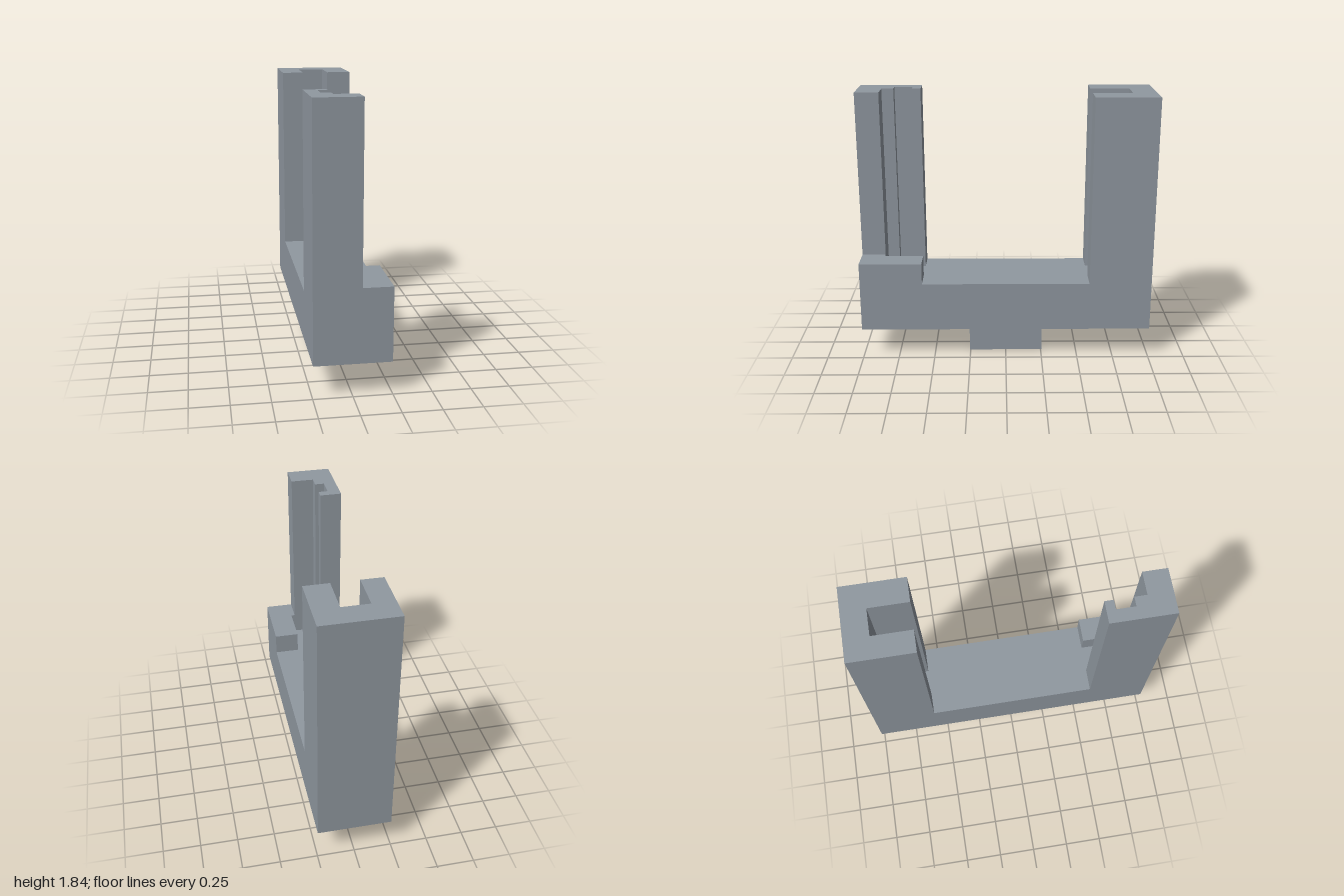
import * as THREE from 'three';

const W = 0.247;                                  // half width
const IN = 0.574, SLOT = 0.838;                   // post inner face and slot end
const Y0 = 0.216, FLOOR = 0.554, STEP = 0.7, TOP = 1.837;

export function createModel() {
  const group = new THREE.Group();
  const grey = new THREE.MeshStandardMaterial({ color: 0x9098a0 });
  grey.name = 'grey';

  // Extrudes a plan outline of [x, z] points from height y0 to y1
  const prism = (name, plan, y0, y1) => {
    const shape = new THREE.Shape(plan.map(([x, z]) => new THREE.Vector2(x, -z)));
    const geo = new THREE.ExtrudeGeometry(shape, { depth: y1 - y0, bevelEnabled: false });
    geo.rotateX(-Math.PI / 2).translate(0, y0, 0);
    const mesh = new THREE.Mesh(geo, grey);
    mesh.name = name;
    group.add(mesh);
  };
  const rect = (x0, x1, z0, z1) => [[x0, z0], [x1, z0], [x1, z1], [x0, z1]];

  // Foot and crossbar
  prism('foot', rect(-0.148, 0.127, -0.256, 0.256), 0, Y0);
  prism('crossbar', rect(-W, W, -1, 1), Y0, FLOOR);

  // Back post: a channel open towards the front
  prism('backPost', [
    [-W, -1], [W, -1], [W, -IN], [0.08, -IN], [0.08, -SLOT],
    [-0.1, -SLOT], [-0.1, -IN], [-W, -IN],
  ], FLOOR, TOP);

  // Front post: one side of a channel, with a small groove in its wall
  prism('frontPost', [
    [-W, 1], [0.054, 1], [0.054, SLOT], [-0.1, SLOT], [-0.1, 0.757],
    [-0.163, 0.757], [-0.163, 0.632], [-0.1, 0.632], [-0.1, IN], [-W, IN],
  ], FLOOR, TOP);

  // Low remainder of the other channel side
  prism('frontStep', [
    [0.054, 1], [W, 1], [W, IN], [0.08, IN], [0.08, SLOT], [0.054, SLOT],
  ], FLOOR, STEP);

  return group;
}
